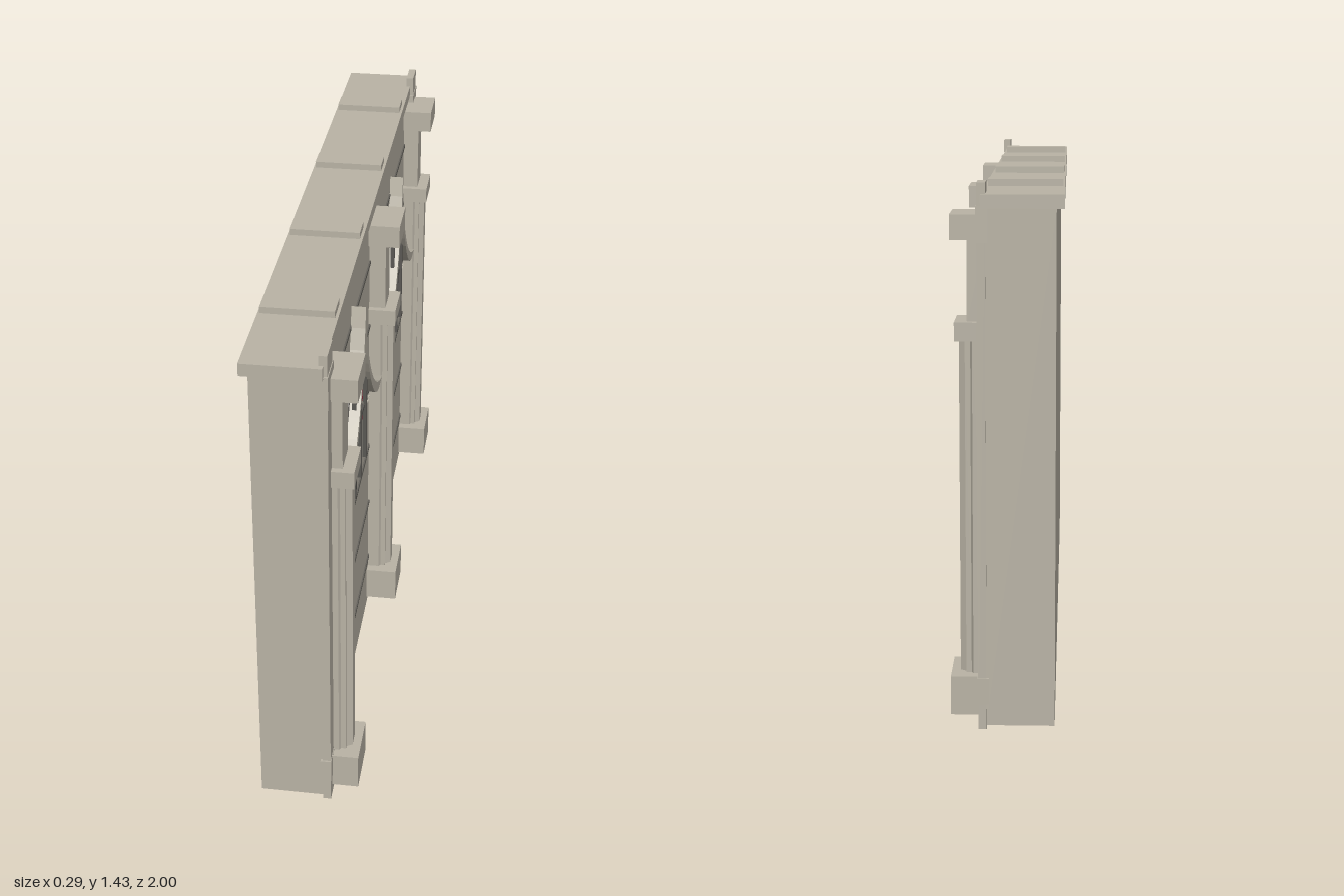
import * as THREE from 'three';

const mat = (name, color, side = THREE.FrontSide) => {
  const m = new THREE.MeshStandardMaterial({ color, side });
  m.name = name;
  return m;
};

export function createModel() {
  const root = new THREE.Group();
  root.name = 'wallSection';
  const stone = mat('stone', 0xbab4a6);
  const groove = mat('grooveShadow', 0x66635d);
  const cloth = mat('greyCloth', 0x8a8680, THREE.DoubleSide);
  const iron = mat('darkRod', 0x5a5854);
  const orange = mat('orange', 0xd69a3c, THREE.DoubleSide);
  const red = mat('red', 0x9c3346, THREE.DoubleSide);

  const add = (parent, name, geo, m) => {
    const mesh = new THREE.Mesh(geo, m);
    mesh.name = name;
    parent.add(mesh);
    return mesh;
  };
  // Box given by its limits on each axis
  const box = (parent, name, m, x0, x1, y0, y1, z0, z1) => {
    const b = add(parent, name, new THREE.BoxGeometry(x1 - x0, y1 - y0, z1 - z0), m);
    b.position.set((x0 + x1) / 2, (y0 + y1) / 2, (z0 + z1) / 2);
    return b;
  };
  // Shape drawn on the wall face (u runs to -z), extruded outwards along +x
  const relief = (parent, name, m, shape, x, depth) => {
    const g = new THREE.ExtrudeGeometry(shape, { depth, bevelEnabled: false, curveSegments: 10 });
    g.rotateY(Math.PI / 2);
    g.translate(x, 0, 0);
    return add(parent, name, g, m);
  };
  const polygon = (pts) => new THREE.Shape(pts.map(([a, b]) => new THREE.Vector2(a, b)));

  // Wall body, coping and raised coping tabs
  box(root, 'wall', stone, -0.13, 0.05, 0.01, 1.37, -0.98, 0.98);
  box(root, 'coping', stone, -0.15, 0.06, 1.367, 1.402, -1, 1);
  for (const z of [-0.7, -0.235, 0.235, 0.7])
    box(root, 'copingTab', stone, -0.145, 0.052, 1.4, 1.42, z - 0.036, z + 0.036);

  // Joints between the courses
  for (let i = 0; i < 6; i++)
    for (const s of [-1, 1])
      box(root, 'joint', groove, 0.048, 0.054, 0.17 + i * 0.209, 0.181 + i * 0.209,
        s * 0.44 - 0.395, s * 0.44 + 0.395);

  // End posts with clasps
  for (const s of [-1, 1]) {
    const c = s * 0.942;
    box(root, 'endPost', stone, 0.048, 0.07, 0, 1.43, c - 0.042, c + 0.042);
    for (const [y0, y1] of [[0.07, 0.14], [1.28, 1.372]])
      box(root, 'endClasp', stone, 0.042, 0.072, y0, y1, c - 0.047, c + 0.047);
  }

  // Pillars: base, stepped shaft, collar, upper shaft, capital
  const half = [[0.05, 0.05], [0.085, 0.05], [0.09, 0.042], [0.104, 0.042], [0.104, 0.032], [0.12, 0.022]];
  const section = polygon([...half.map(([x, z]) => [x, -z]), ...half.slice().reverse()]);
  const shaftGeo = new THREE.ExtrudeGeometry(section, { depth: 0.9, bevelEnabled: false });
  shaftGeo.rotateX(-Math.PI / 2);
  for (const z of [-0.88, 0, 0.88]) {
    const pillar = new THREE.Group();
    pillar.name = 'pillar';
    pillar.position.z = z;
    root.add(pillar);
    box(pillar, 'base', stone, 0.05, 0.143, 0.03, 0.135, -0.077, 0.077);
    add(pillar, 'shaft', shaftGeo, stone).position.y = 0.13;
    box(pillar, 'collar', stone, 0.05, 0.13, 1.025, 1.073, -0.065, 0.065);
    box(pillar, 'upperShaft', stone, 0.05, 0.098, 1.07, 1.29, -0.047, 0.047);
    box(pillar, 'capital', stone, 0.05, 0.14, 1.283, 1.348, -0.07, 0.07);
  }

  // Crescent rib sweeping from the apex down to one side
  const rib = (s, top, low, reach, foot, innerReach) => {
    const sh = new THREE.Shape();
    sh.moveTo(0, top);
    sh.bezierCurveTo(s * 0.03, top - 0.2, s * reach * 0.5, foot + 0.04, s * reach, foot);
    sh.lineTo(s * innerReach, foot);
    sh.bezierCurveTo(s * innerReach * 0.5, foot + 0.03, s * 0.05, low - 0.1, 0, low);
    sh.closePath();
    return sh;
  };

  // Canopy ornaments
  for (const z of [-0.437, 0.437]) {
    const canopy = new THREE.Group();
    canopy.name = 'canopy';
    canopy.position.z = z;
    root.add(canopy);
    relief(canopy, 'backCloth', cloth, polygon([[-0.31, 0.852], [0.31, 0.852], [0, 1.195]]), 0.054, 0.008);
    for (const s of [-1, 1]) {
      relief(canopy, 'outerRib', stone, rib(s, 1.28, 1.18, 0.375, 0.85, 0.3), 0.052, 0.04);
      relief(canopy, 'innerRib', stone, rib(s, 1.1, 1.06, 0.25, 0.855, 0.215), 0.06, 0.012);
    }
    // Hanging pennants: bottom u, top u, top height
    const pennant = (name, m, u0, u1, top) => relief(canopy, name, m,
      polygon([[u0 - 0.014, 0.855], [u0 + 0.014, 0.855], [(u0 + u1) / 2 + 0.02, 0.96],
        [u1, top], [(u0 + u1) / 2 - 0.016, 0.96]]), 0.064, 0.006);
    pennant('orangePennant', orange, -0.04, -0.005, 1.1);
    pennant('orangePennant', orange, 0.04, 0.008, 1.08);
    pennant('redPennant', red, 0.075, 0.108, 1.12);
    pennant('redPennant', red, 0.15, 0.112, 1.1);
    // Rods
    for (const [dz, top] of [[-0.11, 1.135], [0, 1.03], [0.11, 1.135]])
      box(canopy, 'rod', iron, 0.069, 0.081, 0.73, top, dz - 0.006, dz + 0.006);
    box(canopy, 'crossRod', iron, 0.07, 0.08, 0.925, 0.935, -0.06, 0.06);
  }
  return root;
}
